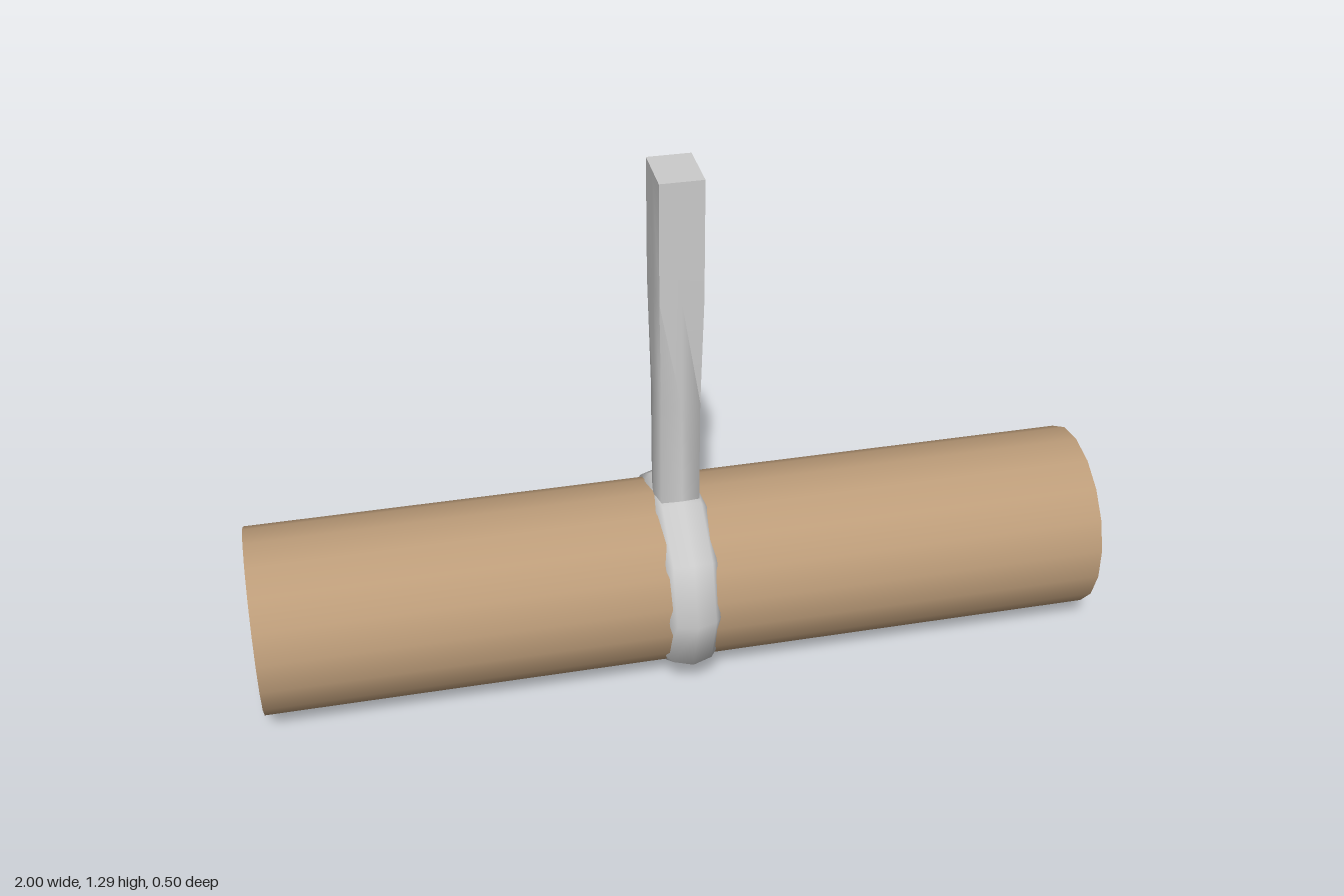
import * as THREE from 'three';
import { toCreasedNormals } from 'three/addons/utils/BufferGeometryUtils.js';

const AXIS_Y = 0.238;

// Skin a stack of closed sections from bottom to top and cap the last one.
function loft(sections) {
  const n = sections[0].length;
  const index = [];
  for (let s = 0; s < sections.length - 1; s++) {
    for (let i = 0; i < n; i++) {
      const a = s * n + i, b = s * n + (i + 1) % n;
      index.push(a, b, a + n, b, b + n, a + n);
    }
  }
  const last = (sections.length - 1) * n;
  for (let i = 1; i < n - 1; i++) index.push(last, last + i, last + i + 1);
  const geometry = new THREE.BufferGeometry();
  geometry.setAttribute('position', new THREE.Float32BufferAttribute(sections.flat(2), 3));
  geometry.setIndex(index);
  return geometry;
}

// Section of the bar: corners at (cx, cz), side midpoints at mx and mz.
function section(y, cx, cz, mx, mz) {
  return [
    [cx, cz], [mx, 0], [cx, -cz], [0, -mz],
    [-cx, -cz], [-mx, 0], [-cx, cz], [0, mz],
  ].map(([x, z]) => [x, y, z]);
}

export function createModel() {
  const group = new THREE.Group();
  const wood = new THREE.MeshStandardMaterial({ color: 0xbc9c79 });
  const metal = new THREE.MeshStandardMaterial({ color: 0xcccccc });

  const add = (name, geometry, material) => {
    const mesh = new THREE.Mesh(geometry, material);
    mesh.name = name;
    group.add(mesh);
  };

  // Horizontal log
  const log = new THREE.CylinderGeometry(0.22, 0.22, 2, 18, 1, false, Math.PI / 2);
  log.rotateZ(Math.PI / 2).translate(0, AXIS_Y, 0);
  add('log', log, wood);

  // Ten-sided strap around the log: a closed ring with a rounded outer face
  const profile = [
    [0.18, -0.05], [0.205, -0.063], [0.22, -0.06], [0.237, -0.046], [0.25, 0],
    [0.237, 0.046], [0.22, 0.06], [0.205, 0.063], [0.18, 0.05], [0.18, -0.05],
  ].map(([r, x]) => new THREE.Vector2(r, x));
  const strap = new THREE.LatheGeometry(profile, 10);
  strap.rotateZ(Math.PI / 2).translate(0, AXIS_Y, 0);
  add('strap', strap, metal);

  // Upright bar: rounded where it leaves the strap, square at the top
  const bar = loft([
    section(0.4, 0.046, 0.056, 0.056, 0.08),
    section(0.475, 0.045, 0.054, 0.052, 0.074),
    section(0.73, 0.045, 0.057, 0.05, 0.068),
    section(1.0, 0.05, 0.067, 0.05, 0.067),
    section(1.29, 0.05, 0.067, 0.05, 0.067),
  ]);
  add('hangerBar', toCreasedNormals(bar, 1.35), metal);

  return group;
}
